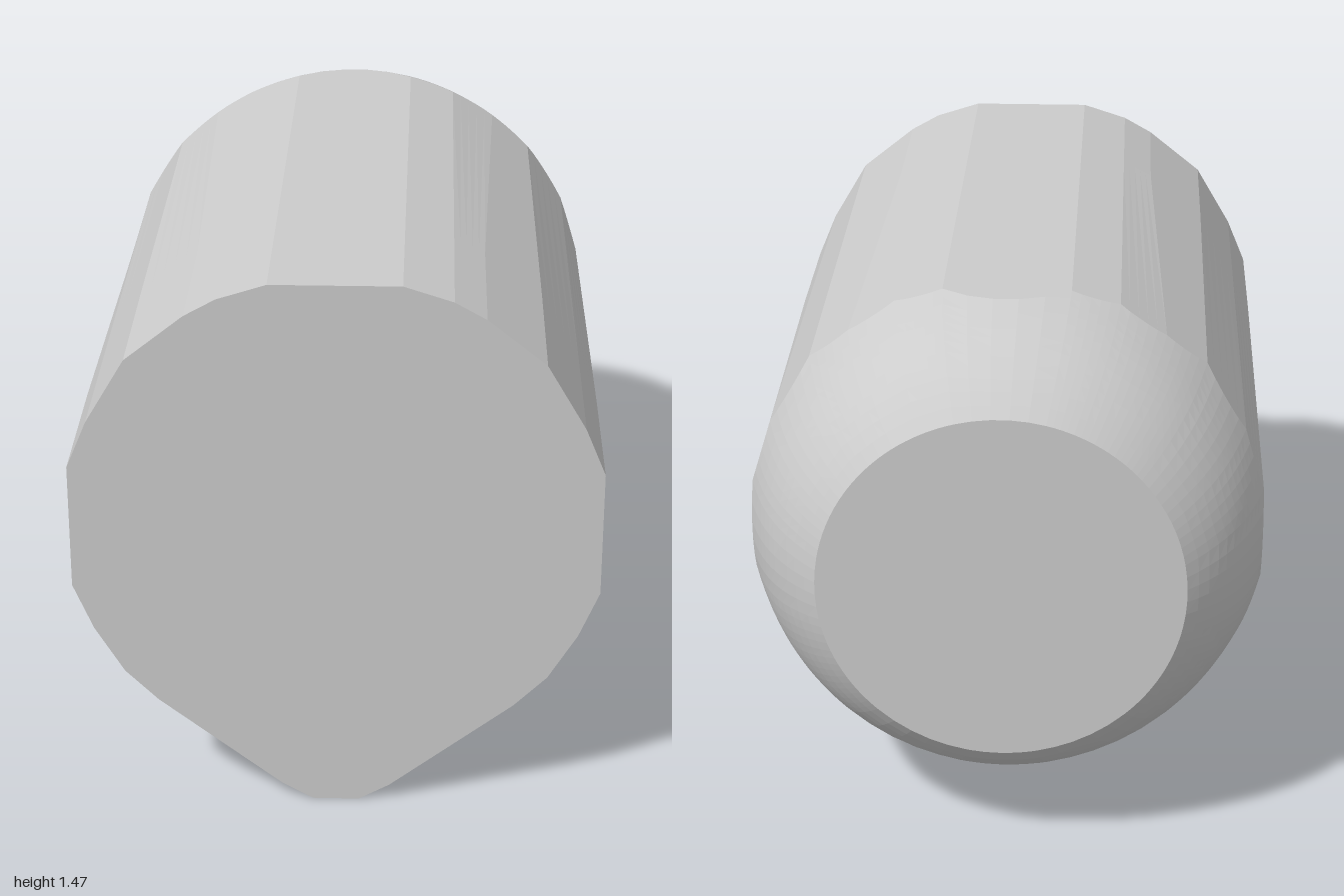
import * as THREE from 'three';

const CY = 0.8;      // height of the dome axis
const TAPER_Z = 0.57; // corners start to soften behind this depth
const SUB = 5;       // subdivisions of each profile edge
const DOME_ROWS = 12;

// Half profile, top to bottom: x, y at the front, then x, y at the back
const HALF = [
  [0.165, 1.465, 0.165, 1.465], [0.29, 1.425, 0.29, 1.425],
  [0.37, 1.38, 0.41, 1.348], [0.52, 1.26, 0.515, 1.263],
  [0.62, 1.09, 0.62, 1.09], [0.672, 0.965, 0.672, 0.92],
  [0.672, 0.63, 0.672, 0.67], [0.62, 0.505, 0.62, 0.505],
  [0.545, 0.38, 0.545, 0.38], [0.46, 0.295, 0.46, 0.295],
  [0.14, 0.045, 0.155, 0.057], [0.06, 0, 0.14, 0.055],
];

// Dome radius at depth z (a smooth cubic)
function domeRadius(z) {
  const a = -z - 0.42, b = -z - 0.67, c = -z - 0.85;
  return 0.75 - 0.32 * a - 0.225 * a * b - 1.789 * a * b * c;
}

// Skin a list of closed rings that run clockwise as seen from the front
function loft(name, rings) {
  const n = rings[0].length, index = [];
  for (let j = 0; j < rings.length - 1; j++) {
    for (let i = 0; i < n; i++) {
      const a = j * n + i, b = j * n + (i + 1) % n;
      index.push(a, b, a + n, b, b + n, a + n);
    }
  }
  const geometry = new THREE.BufferGeometry().setFromPoints(rings.flat());
  geometry.setIndex(index);
  geometry.computeVertexNormals();
  const material = new THREE.MeshStandardMaterial({ color: 0xcccccc, flatShading: true });
  const mesh = new THREE.Mesh(geometry, material);
  mesh.name = name;
  return mesh;
}

export function createModel() {
  // Mirror the half profile and subdivide its edges
  const mirrored = HALF.map(([x, y, bx, by]) => [-x, y, -bx, by]).reverse();
  const corners = [...HALF, ...mirrored];
  const outline = corners.flatMap((p, i) => {
    const q = corners[(i + 1) % corners.length];
    return Array.from({ length: SUB }, (_, k) => p.map((v, m) => v + (q[m] - v) * k / SUB));
  });

  // Point of the prism wall at depth z
  const wall = ([x, y, bx, by], z) => {
    const t = THREE.MathUtils.clamp((TAPER_Z - z) / 1.22, 0, 1);
    return new THREE.Vector3(x + (bx - x) * t, y + (by - y) * t, z);
  };

  // Where each wall line meets the dome, giving the scalloped seam
  const seam = outline.map((p) => {
    let back = -1, front = 0;
    for (let k = 0; k < 30; k++) {
      const z = (back + front) / 2, w = wall(p, z);
      if (Math.hypot(w.x, w.y - CY) > domeRadius(z)) back = z;
      else front = z;
    }
    // back lies outside the dome, front inside it
    return wall(p, (back + front) / 2);
  }).map((s, i) => {
    // Scan from the front for the first crossing
    for (let z = 0; z > -1; z -= 0.002) {
      const w = wall(outline[i], z);
      if (Math.hypot(w.x, w.y - CY) >= domeRadius(z)) return w;
    }
    return s;
  });

  // Rounded back, from the seam to the flat end
  const domeRings = [seam];
  for (let j = 1; j <= DOME_ROWS; j++) {
    domeRings.push(seam.map((s) => {
      const z = s.z + (-1 - s.z) * j / DOME_ROWS;
      const k = domeRadius(z) / Math.hypot(s.x, s.y - CY);
      return new THREE.Vector3(s.x * k, CY + (s.y - CY) * k, z);
    }));
  }

  const frontRing = outline.map((p) => wall(p, 1));
  const middleRing = outline.map((p) => wall(p, TAPER_Z));
  const centre = (z) => outline.map(() => new THREE.Vector3(0, CY, z));

  const group = new THREE.Group();
  group.name = 'domedBlock';
  group.add(
    loft('frontFace', [centre(1), frontRing]),
    loft('body', [frontRing, middleRing, seam]),
    loft('roundedBack', domeRings),
    loft('backFace', [domeRings[DOME_ROWS], centre(-1)]),
  );
  return group;
}
